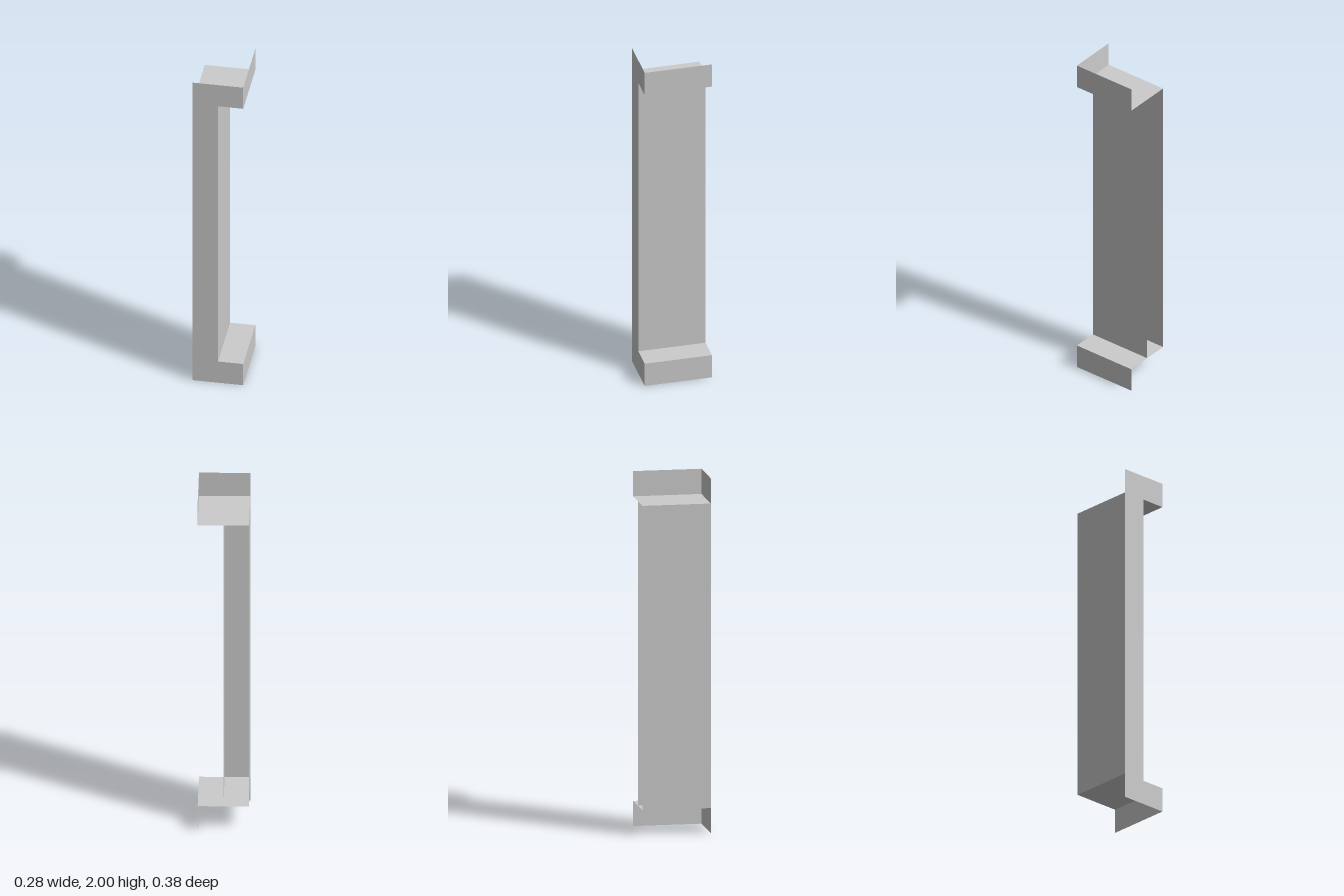
import * as THREE from 'three';

const X = 0.142, Z = 0.192, H = 2, T = 0.142; // half width, half depth, height, end thickness

export function createModel() {
  const group = new THREE.Group();
  const material = new THREE.MeshStandardMaterial({
    color: 0xcccccc, flatShading: true, side: THREE.DoubleSide,
  });
  const add = (name, geometry) => {
    const mesh = new THREE.Mesh(geometry, material);
    mesh.name = name;
    group.add(mesh);
    return mesh;
  };

  // upright sheet across the depth, facing +x or -x
  const sideSheet = (name, x, y0, y1, dir) => {
    const mesh = add(name, new THREE.PlaneGeometry(2 * Z, y1 - y0));
    mesh.rotation.y = dir * Math.PI / 2;
    mesh.position.set(x, (y0 + y1) / 2, 0);
  };

  // level sheet over the whole footprint, facing up or down
  const levelSheet = (name, y, dir) => {
    const mesh = add(name, new THREE.PlaneGeometry(2 * X, 2 * Z));
    mesh.rotation.x = -dir * Math.PI / 2;
    mesh.position.y = y;
  };

  // C-shaped front face
  const outline = [
    [-X, 0], [X, 0], [X, T], [0, T], [0, H - T], [X, H - T], [X, H], [-X, H],
  ].map(([x, y]) => new THREE.Vector2(x, y));
  add('frontFace', new THREE.ShapeGeometry(new THREE.Shape(outline))).position.z = Z;

  // hollow post, open at the back
  sideSheet('postOuterWall', -X, T, H - T, -1);
  sideSheet('postInnerWall', 0, T, H - T, 1);

  // end brackets: a shelf and an end wall each, open outward and at the back
  levelSheet('lowerShelf', T, 1);
  sideSheet('lowerEndWall', X, 0, T, 1);
  levelSheet('upperShelf', H - T, -1);
  sideSheet('upperEndWall', X, H - T, H, 1);

  return group;
}
